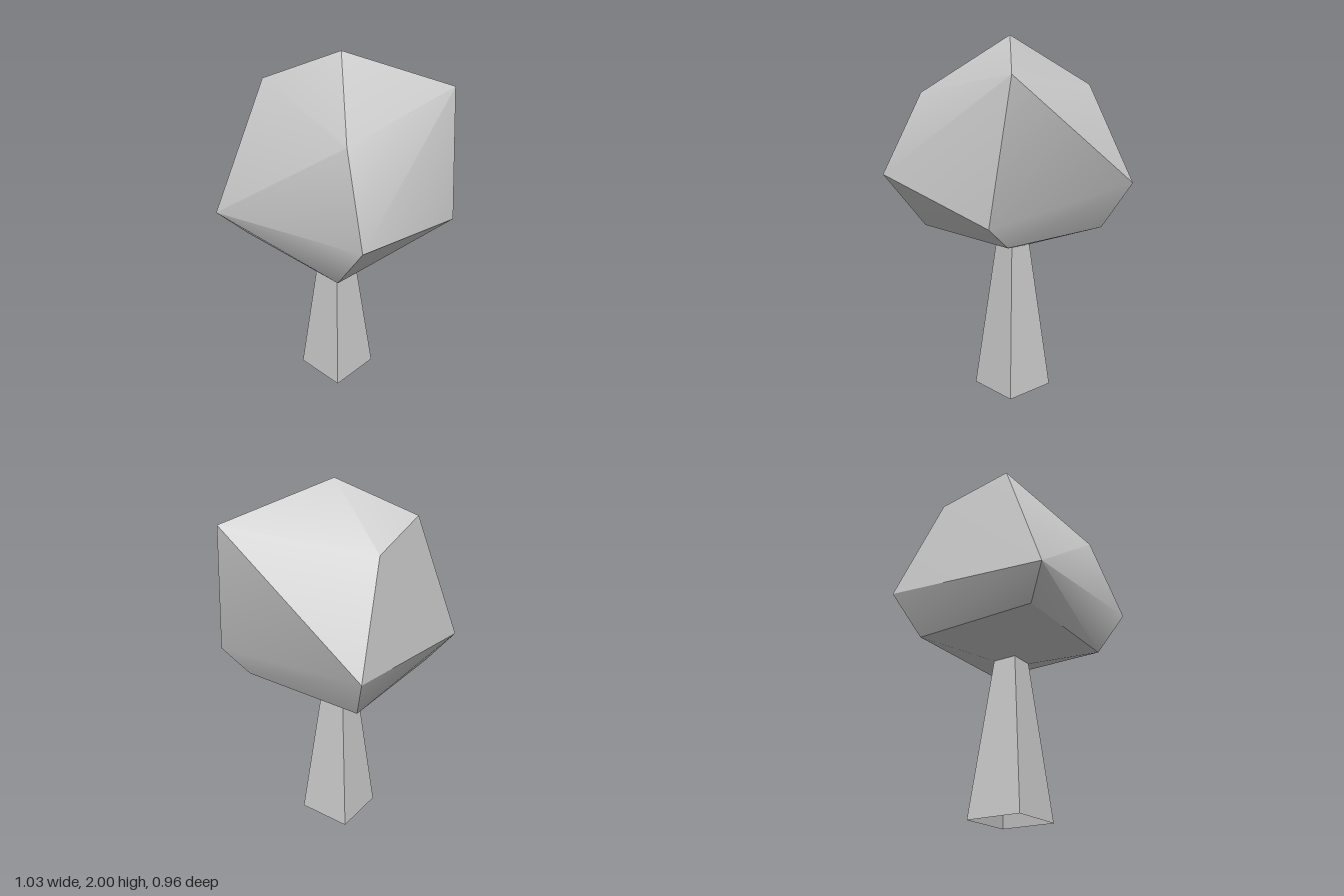
import * as THREE from 'three';
import { ConvexGeometry } from 'three/addons/geometries/ConvexGeometry.js';
import { toCreasedNormals } from 'three/addons/utils/BufferGeometryUtils.js';

const CENTER_X = -0.0625;

// Open four-sided taper between two square outlines (half widths)
function squareTaper(name, halfTop, halfBottom, yTop, yBottom, material) {
  const geometry = new THREE.CylinderGeometry(
    halfTop * Math.SQRT2, halfBottom * Math.SQRT2, yTop - yBottom, 4, 1, true);
  geometry.rotateY(Math.PI / 4);
  geometry.translate(CENTER_X, (yTop + yBottom) / 2, 0);
  const mesh = new THREE.Mesh(geometry, material);
  mesh.name = name;
  return mesh;
}

export function createModel() {
  const group = new THREE.Group();
  group.name = 'tree';

  const flat = new THREE.MeshStandardMaterial({
    color: 0xcccccc, flatShading: true, side: THREE.DoubleSide });
  const smooth = new THREE.MeshStandardMaterial({ color: 0xcccccc });

  // Trunk and the flared underside of the foliage
  group.add(squareTaper('trunk', 0.067, 0.154, 0.85, 0, flat));
  group.add(squareTaper('foliageUnderside', 0.352, 0.067, 0.955, 0.85, flat));

  // Foliage: irregular faceted crown, four corners per ring
  const corners = [
    [-0.03, 2.0, -0.01],                                // tip
    [-0.40, 1.825, 0.19], [0.32, 1.70, 0.32],           // shoulder ring
    [0.355, 1.80, -0.45], [-0.435, 1.74, -0.22],
    [-0.52, 1.10, 0.48], [0.515, 1.26, 0.42],           // widest ring
    [0.45, 1.08, -0.395], [-0.52, 1.21, -0.48],
  ].map((p) => new THREE.Vector3(...p));
  for (const sx of [-1, 1]) {
    for (const sz of [-1, 1]) {                         // lower ring
      corners.push(new THREE.Vector3(CENTER_X + sx * 0.352, 0.955, sz * 0.352));
    }
  }
  const crown = toCreasedNormals(new ConvexGeometry(corners), THREE.MathUtils.degToRad(31));
  const foliage = new THREE.Mesh(crown, smooth);
  foliage.name = 'foliage';
  group.add(foliage);

  return group;
}
